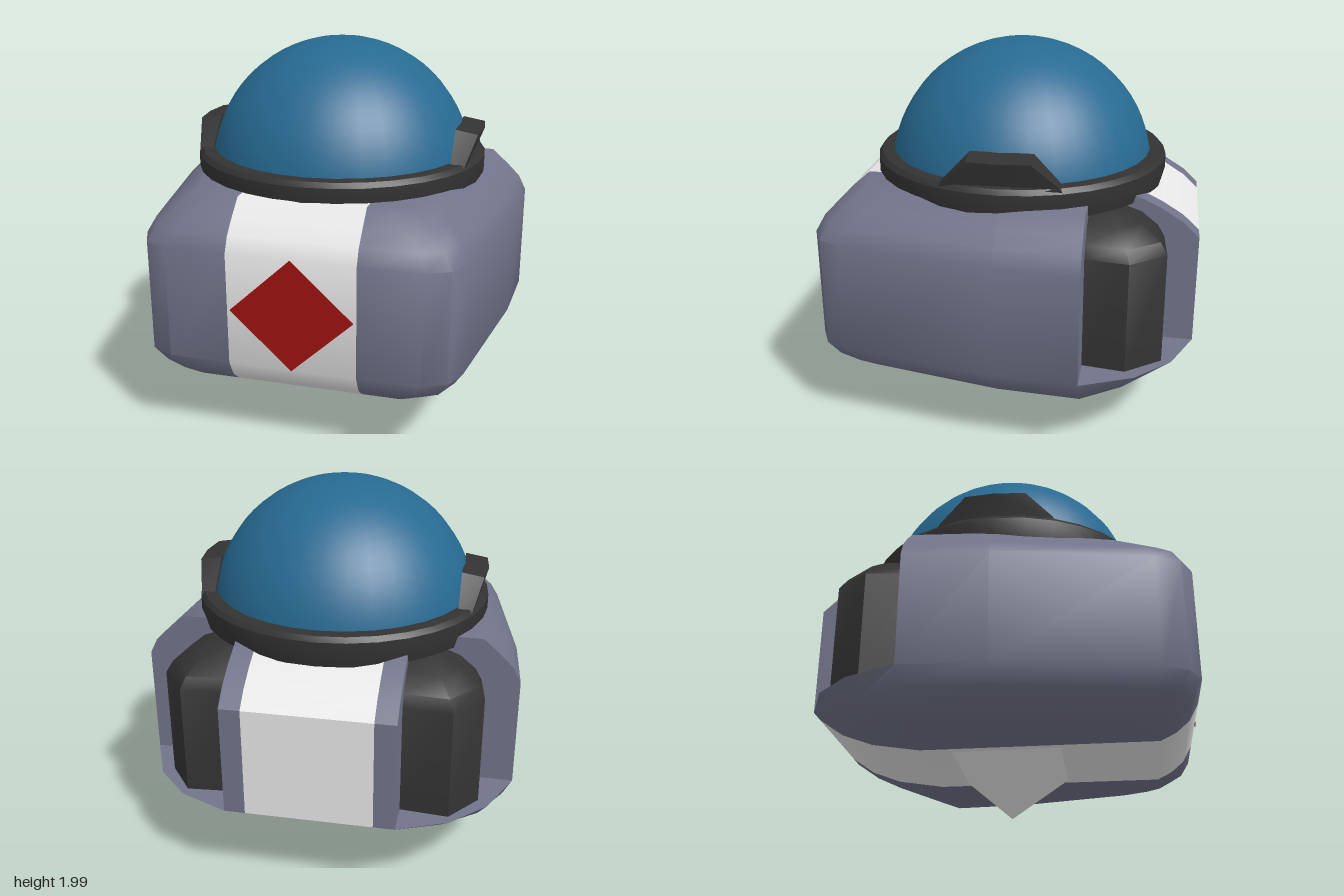
import * as THREE from 'three';
import { toCreasedNormals } from 'three/addons/utils/BufferGeometryUtils.js';

const mat = (name, color) => {
  const m = new THREE.MeshStandardMaterial({ color });
  m.name = name;
  return m;
};

// Triangle collector: side walls between loops, and caps (loops run counter-clockwise seen from above)
function wall(loops, put) {
  for (let l = 0; l + 1 < loops.length; l++) {
    const lo = loops[l], hi = loops[l + 1], n = lo.length;
    for (let i = 0; i < n; i++) {
      const j = (i + 1) % n;
      put(i, lo[i], lo[j], hi[j]);
      put(i, lo[i], hi[j], hi[i]);
    }
  }
}

function cap(loop, up, put) {
  const flat = loop.map(p => new THREE.Vector2(p[0], -p[2]));
  for (const [a, b, c] of THREE.ShapeUtils.triangulateShape(flat, [])) {
    const A = flat[a], B = flat[b], C = flat[c];
    const ccw = (B.x - A.x) * (C.y - A.y) - (B.y - A.y) * (C.x - A.x) > 0;
    if (ccw === up) put(loop[a], loop[b], loop[c]);
    else put(loop[a], loop[c], loop[b]);
  }
}

// Geometry from several triangle lists, one material group each
function fromLists(lists, crease) {
  const g = new THREE.BufferGeometry();
  g.setAttribute('position', new THREE.Float32BufferAttribute(lists.flat(3), 3));
  let start = 0;
  lists.forEach((list, i) => {
    g.addGroup(start, list.length * 3, i);
    start += list.length * 3;
  });
  return toCreasedNormals(g, crease);
}

// Half outlines of the body in plan, from front to back
const FRONT = [[0.33, 0.99], [0.65, 0.99], [0.77, 0.93], [0.83, 0.8], [0.97, 0], [1, -0.43]];
const FULL = [...FRONT, [0.88, -0.7], [0.7, -0.88], [0.44, -0.99], [0.33, -0.99]];
const NOTCHED = [...FRONT, [0.44, -0.43], [0.44, -0.99], [0.33, -0.99]];

// Body loop at height y, inset by d, with the rear drawn in by factor f
function bodyLoop(half, y, d, f) {
  const right = half.map(([x, z]) => [
    x > 0.45 ? x - d : x, y,
    z > 0.5 ? z - d : z < -0.43 ? -0.43 + (z + 0.43) * f : z,
  ]);
  return [...right, ...right.map(([x, h, z]) => [-x, h, z]).reverse()];
}

function bodyGeometry() {
  const grey = [], white = [];
  const addLoops = loops => {
    const n = loops[0].length;
    wall(loops, (i, ...t) => (i === n / 2 - 1 || i === n - 1 ? white : grey).push(t));
  };
  const addCap = (loop, up) => {
    const n = loop.length / 2;
    cap(loop.slice(0, n), up, (...t) => grey.push(t));
    cap(loop.slice(n), up, (...t) => grey.push(t));
    cap([loop[0], loop[n - 1], loop[n], loop[2 * n - 1]], up, (...t) => white.push(t));
  };
  // lower hull, rising towards the back
  const lower = [[0.29, 0.2, 0.03], [0.33, 0.12, 0.48], [0.39, 0.05, 0.77], [0.48, 0, 1]]
    .map(([y, d, f]) => bodyLoop(FULL, y, d, f));
  // upper hull with the two rear corners cut out
  const upper = [[0.48, 0, 1], [1.07, 0, 1], [1.15, 0.04, 0.85], [1.22, 0.11, 0.65], [1.3, 0.2, 0.35]]
    .map(([y, d, f]) => bodyLoop(NOTCHED, y, d, f));
  addLoops(lower);
  addLoops(upper);
  addCap(lower[0], false);
  // floors of the rear cut-outs
  const floor = FULL.slice(5, 9).map(([x, z]) => [x, 0.48, z]);
  floor.push([0.44, 0.48, -0.43]);
  cap(floor, true, (...t) => grey.push(t));
  cap(floor.map(([x, y, z]) => [-x, y, z]), true, (...t) => grey.push(t));
  addCap(upper[upper.length - 1], true);
  return fromLists([grey, white], 0.75);
}

// Rounded pod standing in a rear cut-out
function podGeometry(side) {
  const plan = [[0.44, -0.43], [0.8, -0.43], [0.83, -0.65], [0.69, -0.83], [0.44, -0.81]];
  const loops = [[0.48, 1], [1.07, 1], [1.13, 0.91], [1.2, 0.68], [1.25, 0.3]].map(([y, s]) => {
    const loop = plan.map(([x, z]) => [side * (0.44 + (x - 0.44) * s), y, -0.43 + (z + 0.43) * s]);
    return side > 0 ? loop : loop.reverse();
  });
  const tris = [];
  wall(loops, (i, ...t) => tris.push(t));
  cap(loops[loops.length - 1], true, (...t) => tris.push(t));
  return fromLists([tris], 0.75);
}

// Raised tab on the side of the collar, its outer face following the collar
function tabGeometry(side) {
  const s = new THREE.Shape([[-0.32, 1.36], [0, 1.36], [0.32, 1.36], [0.3, 1.4], [0.16, 1.55], [0, 1.55],
    [-0.16, 1.55], [-0.3, 1.4]].map(p => new THREE.Vector2(...p)));
  const g = new THREE.ExtrudeGeometry(s, { depth: 1, bevelEnabled: false });
  g.rotateY(side * Math.PI / 2);
  const p = g.attributes.position;
  for (let i = 0; i < p.count; i++) {
    const outer = Math.abs(p.getX(i)) > 0.5, z = p.getZ(i);
    p.setX(i, side * (outer ? Math.sqrt(0.79 ** 2 - z * z) : 0.655));
    if (outer && p.getY(i) > 1.5) p.setY(i, 1.53);
  }
  return toCreasedNormals(g, 0.5);
}

export function createModel() {
  const model = new THREE.Group();
  const grey = mat('slate grey', 0x71748a);
  const white = mat('white', 0xeeeeee);
  const dark = mat('charcoal', 0x333333);
  const blue = mat('dome blue', 0x276a92);
  const red = mat('red', 0xa01212);
  const add = (name, geometry, material) => {
    const m = new THREE.Mesh(geometry, material);
    m.name = name;
    model.add(m);
    return m;
  };

  add('body', bodyGeometry(), [grey, white]);

  // Dome and the collar around it
  const dome = add('dome', new THREE.SphereGeometry(0.72, 32, 16, 0, Math.PI * 2, 0, Math.PI / 2), blue);
  dome.position.y = 1.27;
  const profile = [[0.66, 1.24], [0.78, 1.24], [0.795, 1.3], [0.795, 1.375], [0.775, 1.4], [0.69, 1.4], [0.66, 1.24]]
    .map(p => new THREE.Vector2(...p));
  add('collar', toCreasedNormals(new THREE.LatheGeometry(profile, 32), 0.6), dark);

  for (const side of [1, -1]) {
    const label = side > 0 ? 'left' : 'right';
    add(label + 'CollarTab', tabGeometry(side), dark);
    add(label + 'RearPod', podGeometry(side), dark);
  }

  // Four-sided spike underneath
  const spike = new THREE.ConeGeometry(0.285 * Math.SQRT2, 0.29, 4);
  spike.rotateY(Math.PI / 4).rotateX(Math.PI).translate(0, 0.145, 0);
  add('bottomSpike', toCreasedNormals(spike, 0.3), white);

  // Diamond plate on the front
  const diamond = new THREE.Shape([[0, 0.48], [0.315, 0.775], [0, 1.07], [-0.315, 0.775]]
    .map(p => new THREE.Vector2(...p)));
  const plate = add('frontDiamond', new THREE.ExtrudeGeometry(diamond, { depth: 0.008, bevelEnabled: false }), red);
  plate.position.z = 0.988;

  return model;
}
